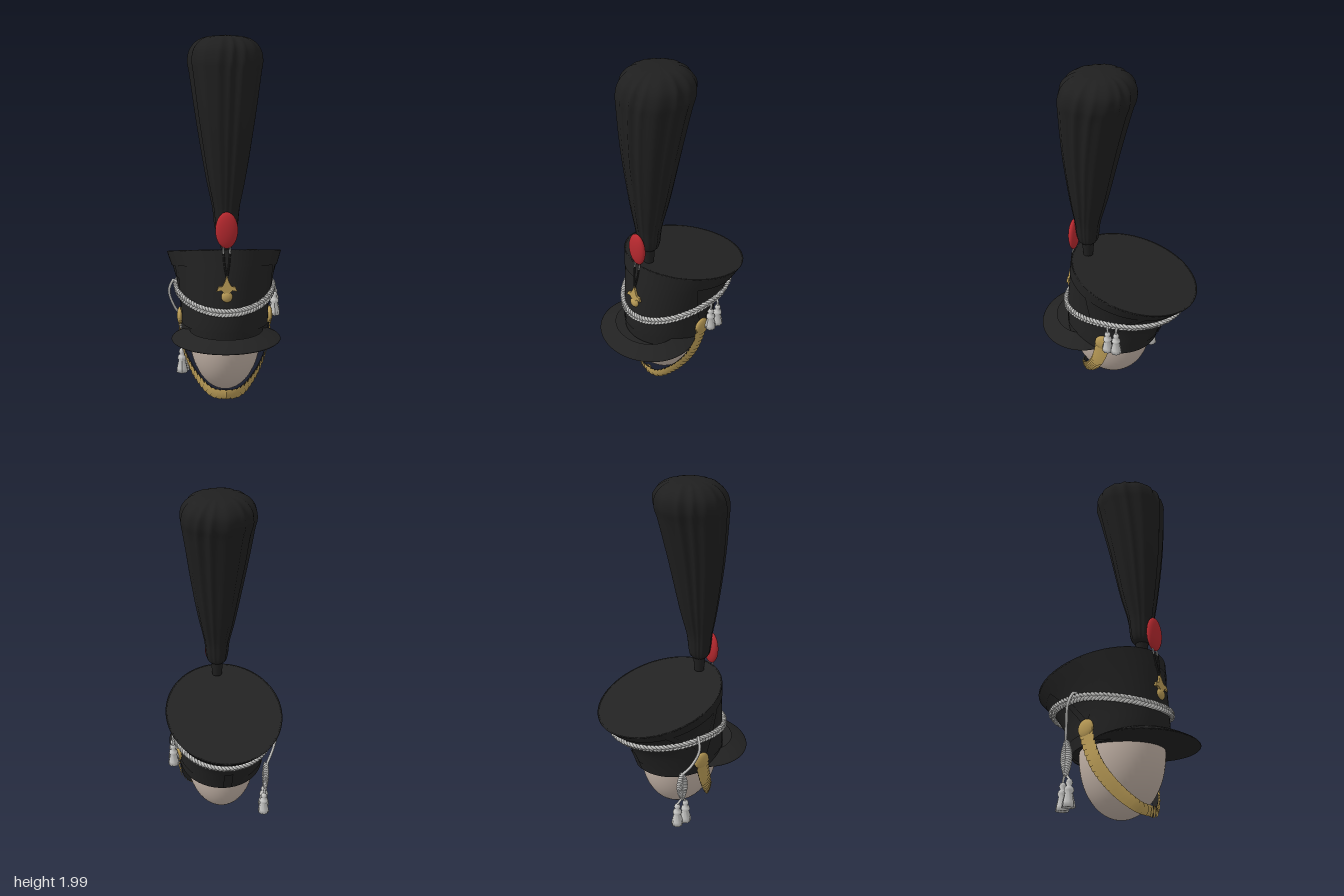
import * as THREE from 'three';
import { mergeGeometries, mergeVertices } from 'three/addons/utils/BufferGeometryUtils.js';

const V = (x, y, z) => new THREE.Vector3(x, y, z);
const lerp = THREE.MathUtils.lerp;
const TAU = Math.PI * 2;

function mat(name, color, side = THREE.FrontSide) {
  const m = new THREE.MeshStandardMaterial({ color, side });
  m.name = name;
  return m;
}

// Surface from a rule fn(u, v) -> Vector3
function grid(nu, nv, fn) {
  const pos = [], idx = [];
  for (let j = 0; j <= nv; j++) for (let i = 0; i <= nu; i++) pos.push(...fn(i / nu, j / nv).toArray());
  for (let j = 0; j < nv; j++) for (let i = 0; i < nu; i++) {
    const a = j * (nu + 1) + i, c = a + nu + 1;
    idx.push(a, a + 1, c, a + 1, c + 1, c);
  }
  let g = new THREE.BufferGeometry();
  g.setAttribute('position', new THREE.Float32BufferAttribute(pos, 3));
  g.setIndex(idx);
  g = mergeVertices(g, 1e-5);
  g.computeVertexNormals();
  return g;
}

const tube = (pts, r, seg = 24, closed = false, sides = 6) =>
  new THREE.TubeGeometry(new THREE.CatmullRomCurve3(pts, closed), seg, r, sides, closed);

// Hat outline: front edge (0, y, z) and back edge (half width, y, z), bottom to top
const frontEdge = new THREE.CatmullRomCurve3([V(0, .37, .3), V(0, .45, .306), V(0, .56, .302), V(0, .72, .285), V(0, .88, .26)]);
const backEdge = new THREE.CatmullRomCurve3([V(.243, .34, -.235), V(.246, .42, -.262), V(.252, .515, -.303), V(.28, .605, -.372), V(.325, .70, -.462)]);

function hat(a, t, off = 0) {
  const F = frontEdge.getPoint(t), B = backEdge.getPoint(t), s = Math.sin(a);
  return V((B.x + off) * Math.cos(a), lerp(B.y, F.y, (1 + s) / 2), (F.z + B.z) / 2 + ((F.z - B.z) / 2 + off) * s);
}

function hatAtY(a, y, off) {
  let lo = 0, hi = 1;
  for (let i = 0; i < 16; i++) {
    const m = (lo + hi) / 2;
    if (hat(a, m).y < y) lo = m; else hi = m;
  }
  const p = hat(a, lo, off);
  p.y = y;
  return p;
}

const hatBand = (t0, t1, off, n = 4) => grid(72, n, (u, v) => hat(-TAU * u, lerp(t0, t1, v), off));
const hatCap = (t, off, up) => grid(72, 2, (u, v) => {
  const c = hat(0, t).add(hat(Math.PI, t)).multiplyScalar(.5);
  return hat(up ? -TAU * u : TAU * u, t, off).lerp(c, v);
});

// Tassel hanging down from its origin
function tasselGeometry() {
  const p = [[0, -.136], [.033, -.14], [.03, -.115], [.019, -.07], [.025, -.06], [.022, -.045], [.012, -.036], [.018, -.02], [.012, -.005], [0, 0]];
  const g = new THREE.LatheGeometry(p.map(([x, y]) => new THREE.Vector2(x, y)), 20);
  const q = g.attributes.position;
  for (let i = 0; i < q.count; i++) if (q.getY(i) < -.075 && (i % 210 / 10 | 0) % 2) {
    q.setX(i, q.getX(i) * .85);
    q.setZ(i, q.getZ(i) * .85);
  }
  g.computeVertexNormals();
  return g;
}

export function createModel() {
  const group = new THREE.Group();
  const black = mat('blackFelt', 0x222222, THREE.DoubleSide);
  const plumeBlack = mat('plumeBlack', 0x1f1f1f);
  const gold = mat('brass', 0xb99b56, THREE.DoubleSide);
  const silver = mat('silverCord', 0xc9c9c7);
  const red = mat('redPompom', 0xb8292f);
  const skin = mat('headForm', 0xc2b2a6);
  const add = (name, geo, m, x = 0, y = 0, z = 0) => {
    const mesh = new THREE.Mesh(geo, m);
    mesh.name = name;
    mesh.position.set(x, y, z);
    group.add(mesh);
    return mesh;
  };

  // Head form
  add('head', new THREE.SphereGeometry(1, 48, 32), skin, 0, .345, .04).scale.set(.205, .33, .24);

  // Hat body, bands, flat top and underside
  add('hatBody', hatBand(0, 1, 0, 24), black);
  add('hatTop', hatCap(1, .003, true), black);
  add('hatUnderside', hatCap(.06, 0, false), black);
  add('topBand', hatBand(.86, 1, .005), black);
  add('baseBand', hatBand(0, .2, .005), black);
  add('topPiping', tube(Array.from({ length: 72 }, (_, i) => hat(i / 72 * TAU, .995, .001)), .005, 96, true), black);

  // Side chevrons and back tab
  for (const c of [0, Math.PI]) for (const s of [-1, 1]) {
    add('sideChevron', grid(3, 10, (u, v) => hat(c + s * lerp(.06, .5, v) + (u - .5) * .13, lerp(.34, .9, v), .005)), black);
  }
  add('backTab', grid(6, 6, (u, v) => hat(-Math.PI / 2 + (u - .5) * .2, lerp(.02, .42, v), .01)), black);

  // Visor
  const visorProfile = [[0, .355], [.2, .36], [.296, .367], [.3, .371], [.294, .376], [.25, .397], [.2, .418]];
  add('visor', new THREE.LatheGeometry(visorProfile.map(([x, y]) => new THREE.Vector2(x, y)), 64), black, 0, 0, .2).scale.z = .895;

  // Plume: ridged, leaning back; points hold (radius, height, z)
  const spine = new THREE.CatmullRomCurve3([V(.03, .945, .18), V(.055, .97, .18), V(.074, 1.1, .178), V(.105, 1.25, .168), V(.155, 1.55, .148),
    V(.19, 1.8, .12), V(.199, 1.87, .108), V(.185, 1.93, .1), V(.13, 1.98, .095), V(.001, 2, .09)]);
  add('plume', grid(112, 48, (u, v) => {
    const p = spine.getPoint(v), a = -TAU * u;
    const ridge = Math.abs(Math.sin(8 * a + v * 1.5 + .5 * Math.sin(3 * a + v * 3)));
    const r = p.x * (1.02 - .09 * ridge * (.6 + .4 * Math.sin(5 * a + 1)));
    return V(r * Math.cos(a), p.y, p.z + r * Math.sin(a));
  }), plumeBlack);
  add('plumeSocket', new THREE.CylinderGeometry(.036, .028, .1, 20), plumeBlack, 0, .915, .18);

  // Pompom and its small cords
  add('pompom', new THREE.SphereGeometry(1, 32, 20), red, 0, .985, .264).scale.set(.06, .098, .027);
  for (const s of [-1, 1]) {
    add('pompomCord', tube([V(s * .018, .91, .262), V(s * .017, .85, .273)], .004, 4), silver);
    add('pompomLoop', tube([V(s * .017, .86, .272), V(s * .012, .8, .281), V(0, .73, .292)], .005, 8), black);
  }

  // Brass badge: ball with a spread of flames
  const badge = new THREE.Group();
  badge.name = 'badge';
  badge.position.set(0, .63, .296);
  badge.rotation.x = -.1;
  const half = [[.014, .02], [.03, .035], [.055, .03], [.045, .055], [.024, .057], [.012, .08], [0, .115]];
  const flame = new THREE.Shape([...half, ...half.slice(0, -1).reverse().map(([x, y]) => [-x, y])].map(([x, y]) => new THREE.Vector2(x, y)));
  badge.add(new THREE.Mesh(new THREE.ExtrudeGeometry(flame, { depth: .012, bevelEnabled: false }), gold));
  const ball = new THREE.Mesh(new THREE.SphereGeometry(.03, 20, 14), gold);
  ball.scale.z = .6;
  badge.add(ball);
  badge.children.forEach((m, i) => { m.name = ['badgeFlame', 'badgeBall'][i]; });
  group.add(badge);

  // Braided cord round the hat: two stacked ropes twisted opposite ways
  const strands = [];
  for (const row of [-1, 1]) for (const ph of [0, Math.PI]) {
    const pts = Array.from({ length: 480 }, (_, i) => {
      const a = i / 480 * TAU, k = row * a * 48 + ph;
      const y = .605 - .06 * Math.max(0, Math.sin(a)) ** 1.3;
      return hatAtY(a, y + row * .01, .013 + .006 * Math.cos(k)).add(V(0, .006 * Math.sin(k), 0));
    });
    strands.push(tube(pts, .0085, 720, true, 5));
  }
  add('braidedCord', mergeGeometries(strands), silver);

  // Short tassels on the left
  const tassel = tasselGeometry();
  for (const [x, y, z] of [[.29, .565, -.03], [.295, .57, -.082]]) {
    add('leftTassel', tassel, silver, x, y, z);
    add('leftTasselCord', tube([V(.265, .605, z), V(.29, .6, z), V(x, y - .005, z)], .007, 10), silver);
  }

  // Long hanging cord, plaited knot and tassels on the right
  add('hangingCord', tube([V(-.268, .615, -.03), V(-.29, .635, -.045), V(-.32, .57, -.06), V(-.295, .47, -.09), V(-.258, .4, -.125)], .008, 32), silver);
  for (let k = 0; k < 4; k++) {
    const pts = Array.from({ length: 49 }, (_, i) => {
      const v = i / 48, w = .004 + .026 * Math.sin(v * Math.PI), a = v * TAU * 4 + k * TAU / 4;
      return V(-.25 + .009 * Math.sin(a * 2), lerp(.4, .22, v), -.125 + w * Math.cos(a));
    });
    add('plaitedKnot', tube(pts, .0075, 96), silver);
  }
  for (const [x, y, z] of [[-.25, .2, -.1], [-.24, .19, -.152]]) {
    add('rightTassel', tassel, silver, x, y, z).scale.setScalar(1.05);
    add('rightTasselCord', tube([V(-.25, .225, -.125), V(-.248, .21, (z - .125) / 2), V(x, y - .005, z)], .007, 10), silver);
  }

  // Chin strap: dark lining under overlapping brass scales
  const side = [[.258, .45, .01], [.25, .38, .02], [.228, .25, .062], [.165, .13, .13], [.075, .05, .193]];
  const strapPath = new THREE.CatmullRomCurve3([...side.map(p => V(...p)), V(0, .04, .205),
    ...side.slice().reverse().map(([x, y, z]) => V(-x, y, z))]);
  const strap = (s, w, out) => {
    s = THREE.MathUtils.clamp(s, 0, 1);
    const k = Math.abs(s - .5) * 2, T = strapPath.getTangentAt(s);
    const W = V(0, lerp(1, .3, k), lerp(.1, .95, k)).addScaledVector(T, 0);
    W.addScaledVector(T, -W.dot(T)).normalize();
    const N = W.clone().cross(T);
    return strapPath.getPointAt(s).addScaledVector(W, w * lerp(.028, .044, k)).addScaledVector(N, out);
  };
  add('strapLining', grid(4, 80, (u, v) => strap(v, (u * 2 - 1) * .94, 0)), black);
  const scales = [], count = 20, len = .5 / count;
  for (const s of [-1, 1]) for (let i = 0; i < count; i++) {
    scales.push(grid(8, 3, (u, v) => {
      const w = u * 2 - 1, bow = 1 - w * w;
      const k = Math.min(.5, (i + v * (1 + .35 * bow)) * len);
      return strap(.5 + s * (.5 - k), w, .003 + .007 * v + .006 * bow);
    }));
  }
  add('strapScales', mergeGeometries(scales), gold);
  for (const s of [-1, 1]) {
    const boss = add('strapBoss', new THREE.SphereGeometry(.05, 24, 16), gold, s * .256, .438, .008);
    boss.scale.x = .36;
  }
  add('strapBuckle', new THREE.TorusGeometry(.018, .005, 8, 20), gold, 0, .04, .198);

  return group;
}
